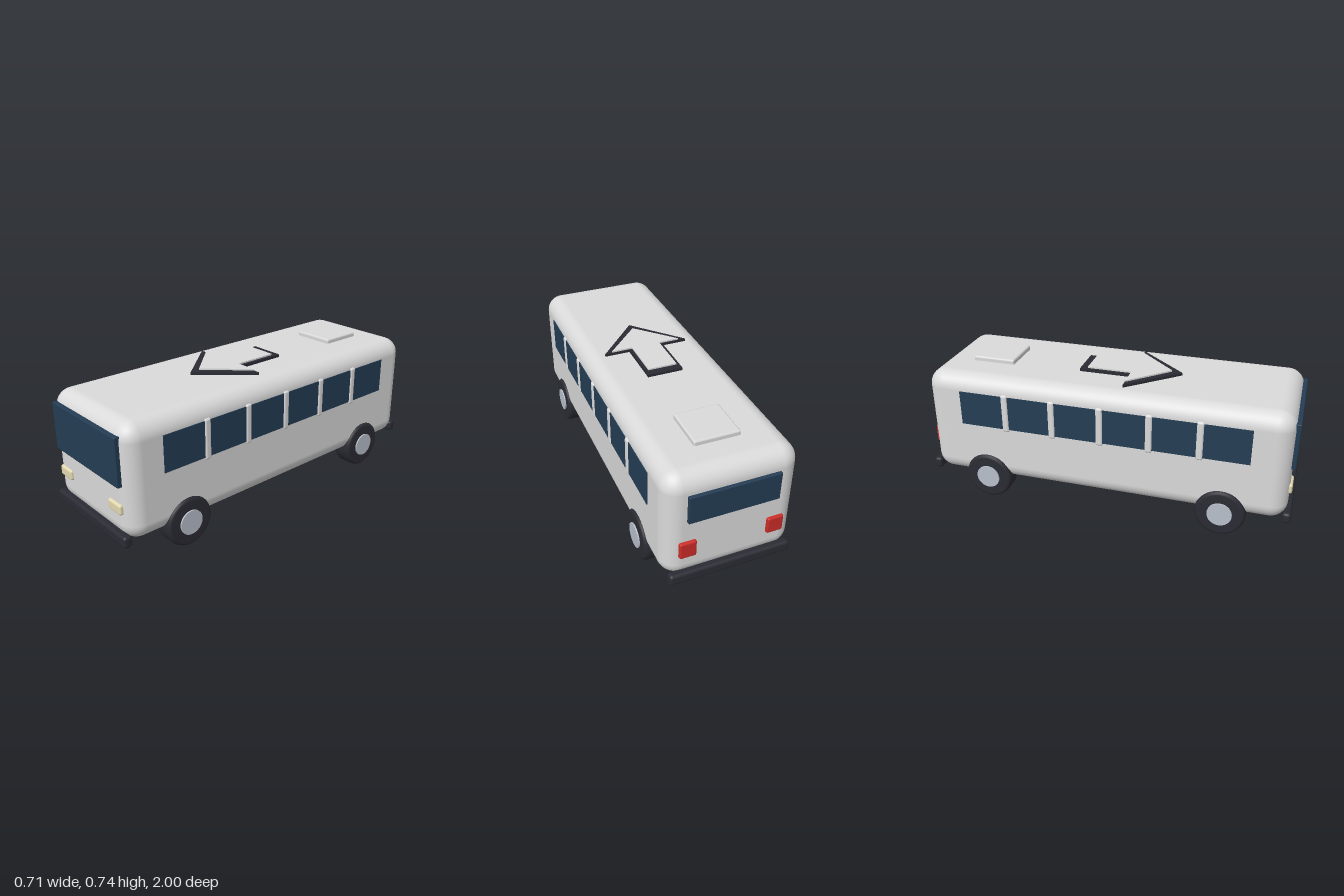
import * as THREE from 'three';
import { RoundedBoxGeometry } from 'three/addons/geometries/RoundedBoxGeometry.js';

const paint = (name, color) => {
  const m = new THREE.MeshStandardMaterial({ color });
  m.name = name;
  return m;
};

export function createModel() {
  const bus = new THREE.Group();
  bus.name = 'bus';
  const white = paint('bodyWhite', 0xdadada);
  const glass = paint('darkGlass', 0x243d54);
  const black = paint('rubberBlack', 0x2b2b34);
  const silver = paint('hubSilver', 0xb9c0cc);
  const cream = paint('headlightCream', 0xe2d8b0);
  const red = paint('tailLightRed', 0xcb2c27);

  const add = (name, geometry, material, x = 0, y = 0, z = 0, parent = bus) => {
    const mesh = new THREE.Mesh(geometry, material);
    mesh.name = name;
    mesh.position.set(x, y, z);
    parent.add(mesh);
    return mesh;
  };
  // Rounded block given by its size, corner radius and centre
  const block = (name, material, [w, h, d], r, [x, y, z], segments = 3) =>
    add(name, new RoundedBoxGeometry(w, h, d, segments, r), material, x, y, z);

  // Shell
  block('body', white, [0.67, 0.6, 1.95], 0.09, [0, 0.42, 0], 8);

  // Front and rear glass
  block('windshield', glass, [0.555, 0.25, 0.03], 0.005, [0, 0.538, 0.977]);
  block('rearWindow', glass, [0.455, 0.152, 0.03], 0.005, [0, 0.545, -0.977]);

  // Bumpers
  for (const [name, z] of [['frontBumper', 0.977], ['rearBumper', -0.977]])
    block(name, black, [0.626, 0.06, 0.046], 0.016, [0, 0.14, z]);

  // Tyre cross-section (radius, width), revolved around the axle
  const tyreProfile = [
    [0, -0.055], [0.112, -0.055], [0.12, -0.053], [0.127, -0.047], [0.131, -0.036],
    [0.131, 0.036], [0.127, 0.047], [0.12, 0.053], [0.112, 0.055], [0, 0.055],
  ].map(([r, w]) => new THREE.Vector2(r, w));
  const tyre = new THREE.LatheGeometry(tyreProfile, 40).rotateZ(Math.PI / 2);
  const hub = new THREE.CylinderGeometry(0.065, 0.065, 0.125, 32).rotateZ(Math.PI / 2);

  for (const side of [-1, 1]) {
    const label = side > 0 ? 'left' : 'right';

    // Side glass and the pillars dividing it
    add(label + 'SideWindow', new THREE.BoxGeometry(0.02, 0.19, 1.55), glass, side * 0.329, 0.535, 0);
    for (let i = -2; i <= 2; i++)
      block(label + 'Pillar', white, [0.03, 0.215, 0.038], 0.012, [side * 0.33, 0.533, i * 0.26]);

    // Lamps
    block(label + 'Headlight', cream, [0.105, 0.055, 0.03], 0.012, [side * 0.222, 0.294, 0.973]);
    block(label + 'TailLight', red, [0.085, 0.092, 0.03], 0.01, [side * 0.222, 0.307, -0.976]);

    // Wheels
    for (const z of [0.645, -0.645]) {
      const wheel = new THREE.Group();
      wheel.name = label + (z > 0 ? 'Front' : 'Rear') + 'Wheel';
      wheel.position.set(side * 0.295, 0.132, z);
      add('tyre', tyre, black, 0, 0, 0, wheel);
      add('hub', hub, silver, 0, 0, 0, wheel);
      bus.add(wheel);
    }
  }

  // Roof hatch
  block('roofHatch', white, [0.235, 0.034, 0.235], 0.01, [0, 0.728, -0.668]);

  // Roof arrow pointing forward: dark base with a smaller white top
  const arrow = (name, material, shaft, head, back, neck, tip, bottom, height) => {
    const outline = [[-shaft, back], [shaft, back], [shaft, neck], [head, neck],
      [0, tip], [-head, neck], [-shaft, neck]];
    const shape = new THREE.Shape(outline.map(([x, z]) => new THREE.Vector2(x, -z)));
    const geometry = new THREE.ExtrudeGeometry(shape, { depth: height, bevelEnabled: false });
    add(name, geometry.rotateX(-Math.PI / 2), material, 0, bottom, 0);
  };
  arrow('arrowBase', black, 0.095, 0.232, -0.18, 0.095, 0.355, 0.715, 0.02);
  arrow('arrowTop', white, 0.078, 0.192, -0.14, 0.098, 0.3, 0.73, 0.013);

  return bus;
}
